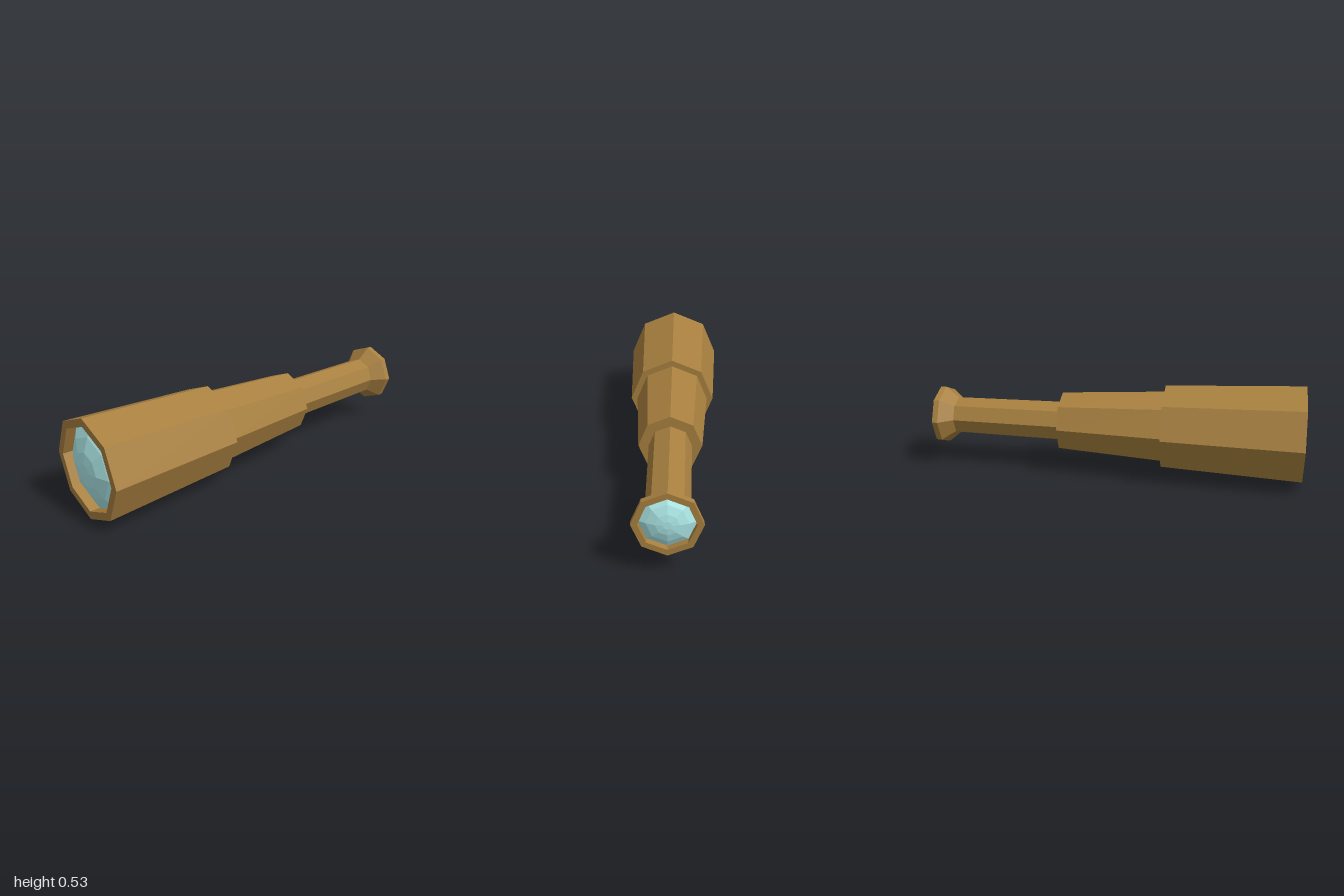
import * as THREE from 'three';

const AXIS_Y = 0.265;
const brass = new THREE.MeshStandardMaterial({ color: 0xa8803f, flatShading: true });
const glass = new THREE.MeshStandardMaterial({ color: 0xb0ecec, flatShading: true });

// Octagonal lathe around the z axis; profile is [radius, z], running back to front on the outside
function turned(name, profile, material) {
  const geometry = new THREE.LatheGeometry(profile.map(([r, z]) => new THREE.Vector2(r, z)), 8);
  geometry.rotateX(Math.PI / 2);
  const mesh = new THREE.Mesh(geometry, material);
  mesh.name = name;
  mesh.position.y = AXIS_Y;
  return mesh;
}

export function createModel() {
  const group = new THREE.Group();
  group.name = 'spyglass';

  // Large front tube with a recessed rim holding the lens
  group.add(turned('frontTube', [
    [0.19, 0.265], [0.232, 0.265], [0.265, 0.99], [0.223, 0.99], [0.223, 0.93],
  ], brass));

  // Middle tube, slipped inside the front tube
  group.add(turned('middleTube', [
    [0.1, -0.295], [0.163, -0.295], [0.198, 0.265],
  ], brass));

  // Slim rear tube
  group.add(turned('rearTube', [
    [0.103, -0.895], [0.11, -0.295],
  ], brass));

  // Flared eyepiece with a recessed rim
  group.add(turned('eyepiece', [
    [0.13, -0.96], [0.13, -0.995], [0.16, -0.995], [0.16, -0.965], [0.103, -0.895],
  ], brass));

  // Domed lenses
  group.add(turned('frontLens', [
    [0.223, 0.937], [0.163, 0.969], [0.092, 0.992], [0.035, 1], [0, 1],
  ], glass));
  group.add(turned('eyeLens', [
    [0, -1], [0.02, -1], [0.054, -0.995], [0.095, -0.982], [0.13, -0.963],
  ], glass));

  return group;
}
